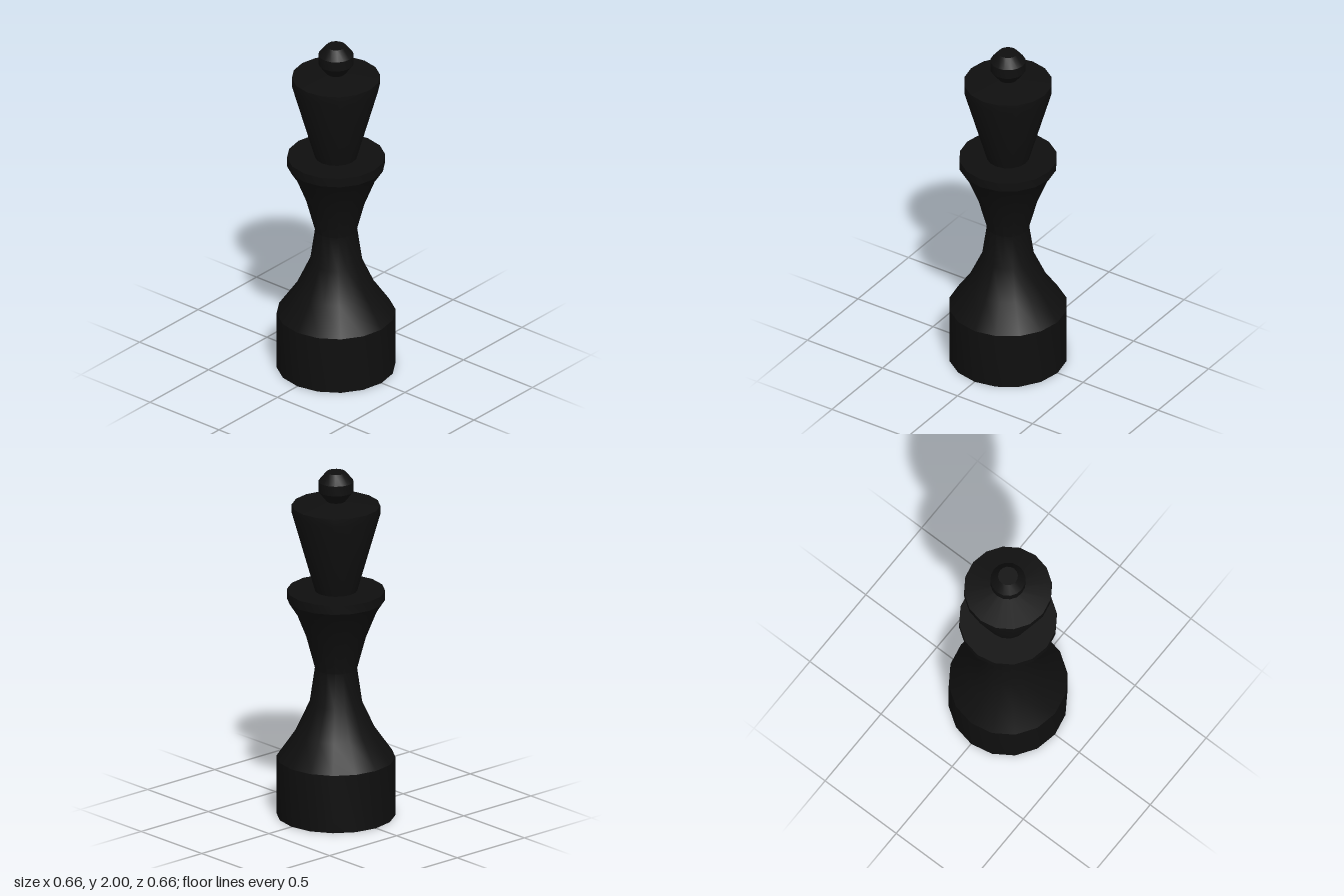
import * as THREE from 'three';
import { toCreasedNormals } from 'three/addons/utils/BufferGeometryUtils.js';

const SIDES = 16;

export function createModel() {
  const group = new THREE.Group();
  const black = new THREE.MeshStandardMaterial({ color: 0x0f0f0f });
  black.name = 'black';

  // Turned part from [radius, height] pairs, listed bottom to top
  function turned(name, profile) {
    const points = profile.map(([r, y]) => new THREE.Vector2(r, y));
    const geometry = toCreasedNormals(new THREE.LatheGeometry(points, SIDES), 0.5);
    const mesh = new THREE.Mesh(geometry, black);
    mesh.name = name;
    group.add(mesh);
  }

  // Heavy drum base with a closed underside
  turned('base', [[0, 0], [0.33, 0], [0.33, 0.335]]);

  // Waisted stem flaring up to the collar
  turned('stem', [
    [0.33, 0.335], [0.224, 0.488], [0.145, 0.66], [0.117, 0.855],
    [0.165, 1.035], [0.224, 1.183], [0.272, 1.257],
  ]);

  // Collar rim and its flat top
  turned('collar', [[0.272, 1.257], [0.272, 1.31], [0.118, 1.31]]);

  // Tapered head with a shallow conical top
  turned('head', [[0.118, 1.31], [0.245, 1.757], [0.245, 1.807], [0.053, 1.832]]);

  // Faceted finial knob
  turned('finial', [[0.053, 1.832], [0.098, 1.89], [0.098, 1.947], [0.055, 2], [0, 2]]);

  return group;
}
